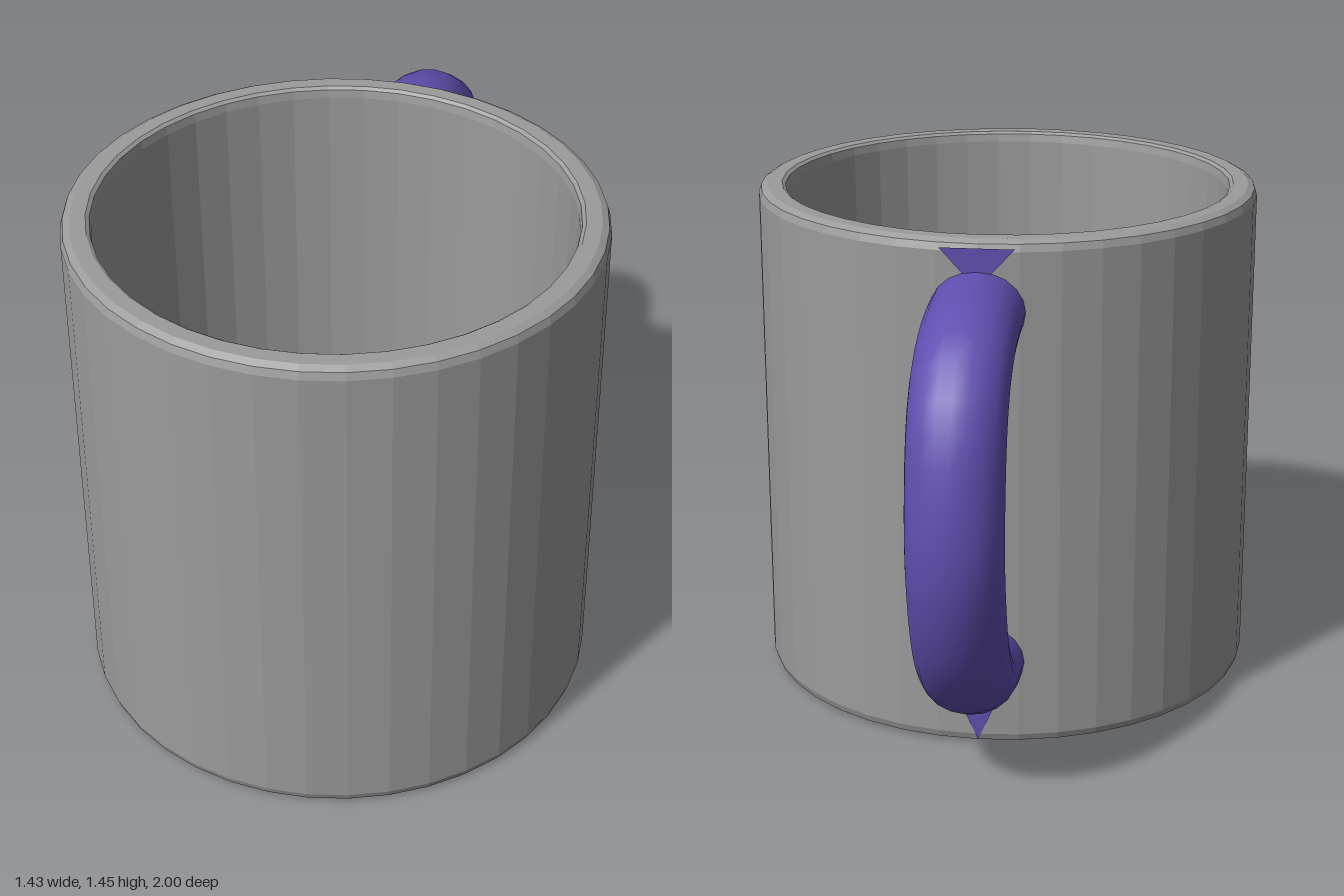
import * as THREE from 'three';

const AXIS_Z = 0.285; // the cup sits forward of the centre to make room for the handle

export function createModel() {
  const group = new THREE.Group();
  group.name = 'mug';

  const grey = new THREE.MeshStandardMaterial({ color: 0x9b9b9b, flatShading: true });
  const purple = new THREE.MeshStandardMaterial({ color: 0x624eb0 });

  const add = (name, geometry, material) => {
    const mesh = new THREE.Mesh(geometry, material);
    mesh.name = name;
    group.add(mesh);
    return mesh;
  };

  // Cup: outside wall, bevelled rim, inside wall and rounded floor in one profile
  const profile = [
    [0, 0.003], [0.69, 0.003], [0.708, 0.01], [0.715, 0.03],
    [0.715, 1.42], [0.708, 1.44], [0.69, 1.45],
    [0.648, 1.45], [0.638, 1.443], [0.634, 1.42],
    [0.62, 0.3], [0.6, 0.19], [0.565, 0.14], [0.38, 0.11], [0, 0.11],
  ].map(([r, y]) => new THREE.Vector2(r, y));
  add('cup', new THREE.LatheGeometry(profile, 40), grey).position.z = AXIS_Z;

  // Handle: a D-shaped tube, a little wider than it is thick
  const path = new THREE.CatmullRomCurve3([
    [-0.38, 1.257], [-0.52, 1.253], [-0.66, 1.227], [-0.78, 1.162], [-0.85, 1.05],
    [-0.89, 0.8], [-0.87, 0.65], [-0.8, 0.48], [-0.7, 0.36], [-0.58, 0.285], [-0.38, 0.245],
  ].map(([z, y]) => new THREE.Vector3(0, y, z)));
  const handle = new THREE.TubeGeometry(path, 24, 0.11, 20);
  handle.scale(1.16, 1, 1);
  add('handle', handle, purple);

  // Small coloured points on the wall above and below the handle
  const addPoint = (name, halfWidth, top, tip) => {
    const shape = new THREE.Shape([
      new THREE.Vector2(-halfWidth, top), new THREE.Vector2(0, tip), new THREE.Vector2(halfWidth, top),
    ]);
    const point = add(name, new THREE.ShapeGeometry(shape), purple);
    point.rotation.y = Math.PI;
    point.position.z = AXIS_Z - 0.717;
  };
  addPoint('upperPoint', 0.1, 1.43, 1.32);
  addPoint('lowerPoint', 0.06, 0.15, 0.015);

  // Coloured half ring on the underside
  const start = THREE.MathUtils.degToRad(164);
  const arc = new THREE.RingGeometry(0.36, 0.63, 24, 1, start, Math.PI);
  arc.rotateX(Math.PI / 2);
  add('baseArc', arc, purple).position.z = AXIS_Z;

  return group;
}
